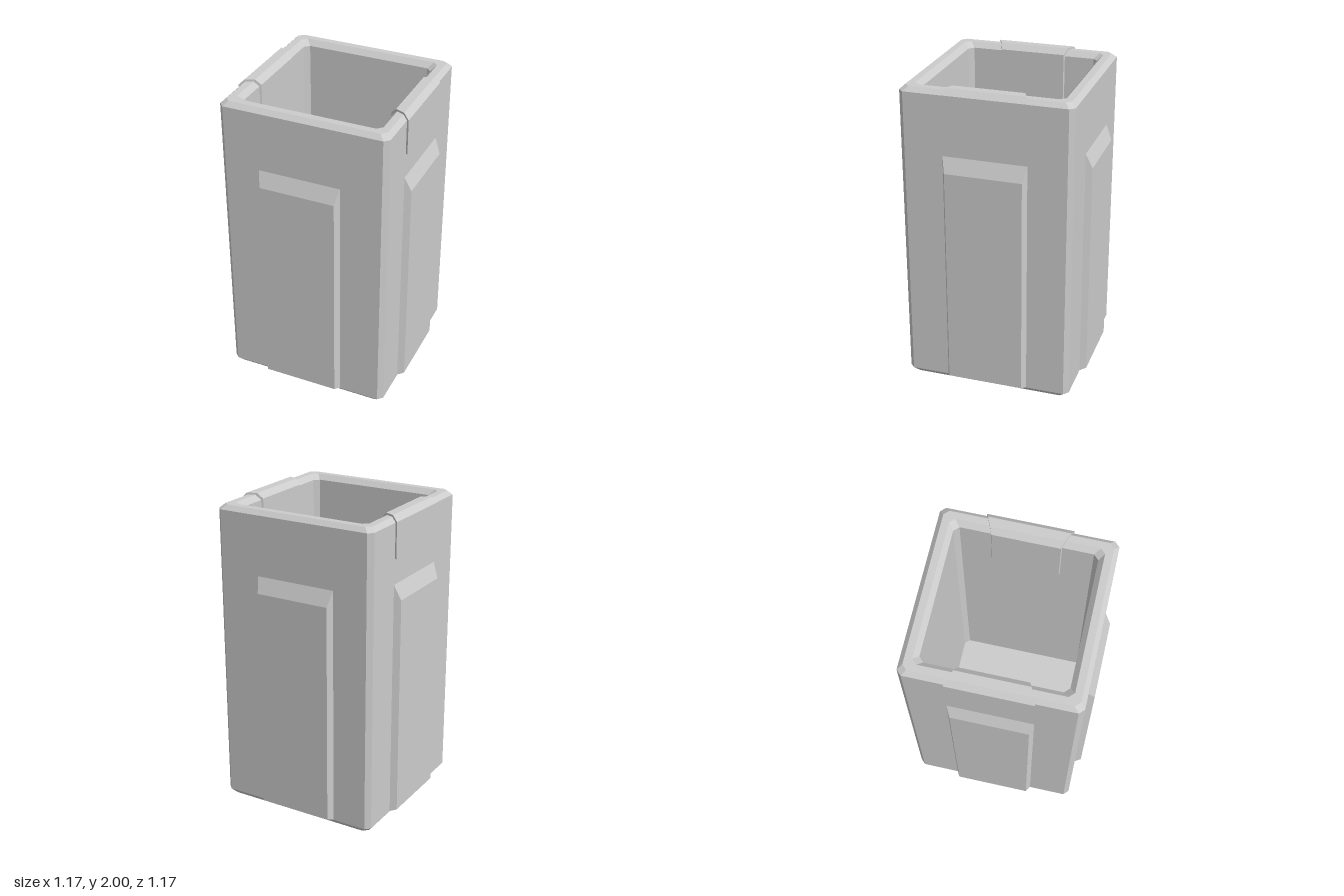
import * as THREE from 'three';

const material = new THREE.MeshStandardMaterial({ color: 0xcccccc, flatShading: true });

// Skin a stack of equal-length rings (counter-clockwise seen from +z), capping both ends.
function loft(rings) {
  const pos = [];
  const tri = (a, b, c) => pos.push(...a, ...b, ...c);
  const n = rings[0].length;
  for (let r = 0; r < rings.length - 1; r++) {
    const a = rings[r], b = rings[r + 1];
    for (let i = 0; i < n; i++) {
      const j = (i + 1) % n;
      tri(a[i], a[j], b[j]);
      tri(a[i], b[j], b[i]);
    }
  }
  const first = rings[0], last = rings[rings.length - 1];
  for (let i = 1; i < n - 1; i++) {
    tri(first[0], first[i + 1], first[i]);
    tri(last[0], last[i], last[i + 1]);
  }
  const geo = new THREE.BufferGeometry();
  geo.setAttribute('position', new THREE.Float32BufferAttribute(pos, 3));
  geo.computeVertexNormals();
  return geo;
}

// Square ring with cut corners
function cutSquare(h, z, cut = 0.031) {
  const k = h - cut;
  return [[h, -k], [h, k], [k, h], [-k, h], [-h, k], [-h, -k], [-k, -h], [k, -h]].map(([x, y]) => [x, y, z]);
}

function rect(w, y0, y1, z) {
  return [[-w, y0, z], [w, y0, z], [w, y1, z], [-w, y1, z]];
}

function part(name, geo) {
  const mesh = new THREE.Mesh(geo, material);
  mesh.name = name;
  return mesh;
}

// Hook over the rim: U profile whose width tapers towards the inside
function clipGeometry() {
  const profile = [
    [0.535, 1.74], [0.555, 1.74], [0.555, 1.965], [0.52, 2], [0.46, 2], [0.425, 1.965],
    [0.425, 1.6], [0.445, 1.6], [0.445, 1.95], [0.475, 1.98], [0.505, 1.98], [0.535, 1.95],
  ];
  const shape = new THREE.Shape(profile.map(([x, y]) => new THREE.Vector2(x, y)));
  const geo = new THREE.ExtrudeGeometry(shape, { depth: 2, bevelEnabled: false });
  geo.translate(0, 0, -1);
  const p = geo.attributes.position;
  for (let i = 0; i < p.count; i++) {
    const t = (p.getX(i) - 0.425) / 0.13;
    p.setZ(i, p.getZ(i) * (0.21 + 0.056 * t));
  }
  geo.computeVertexNormals();
  return geo;
}

export function createModel() {
  const model = new THREE.Group();
  model.name = 'squareContainer';

  // Open body: outside wall, bevelled rim, inside wall and floor
  const profile = [
    [0.513, 0], [0.543, 0.035], [0.543, 1.96], [0.514, 1.988],
    [0.469, 1.988], [0.437, 1.955], [0.437, 0.11],
  ];
  const body = loft(profile.map(([h, y]) => cutSquare(h, y)));
  body.rotateX(-Math.PI / 2);
  model.add(part('body', body));

  // Raised panel with sloped edges on each side; front and back sit slightly off centre
  const panel = loft([rect(0.268, 0.036, 1.585, 0.54), rect(0.245, 0.05, 1.48, 0.583)]);
  ['frontPanel', 'leftPanel', 'backPanel', 'rightPanel'].forEach((name, i) => {
    const mesh = part(name, panel);
    mesh.rotation.y = i * Math.PI / 2;
    if (i % 2 === 0) mesh.position.x = -0.02;
    model.add(mesh);
  });

  // Clips over the left and right rim
  const clip = clipGeometry();
  ['leftClip', 'rightClip'].forEach((name, i) => {
    const mesh = part(name, clip);
    mesh.rotation.y = i * Math.PI;
    model.add(mesh);
  });

  return model;
}
